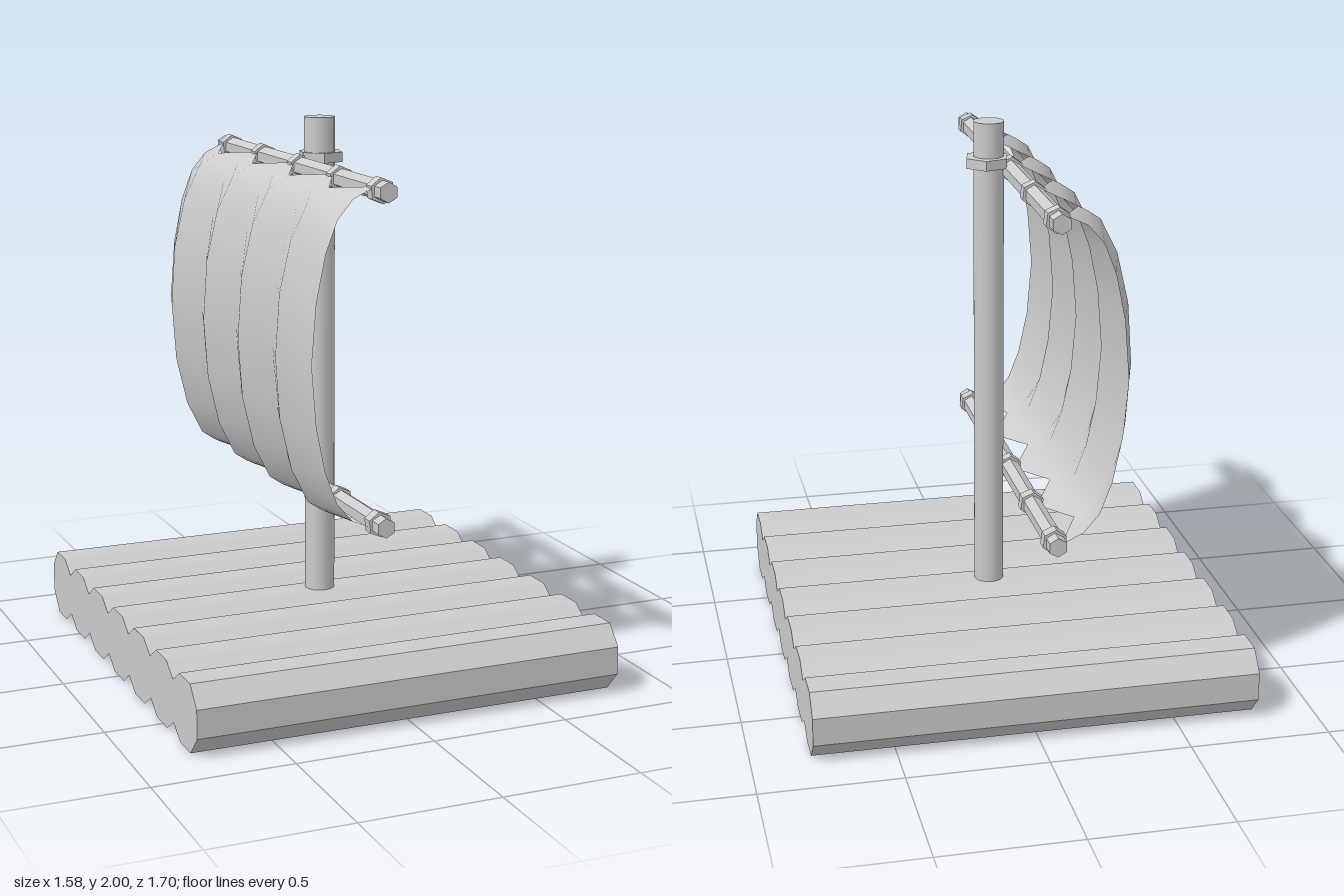
import * as THREE from 'three';

const smooth = new THREE.MeshStandardMaterial({ color: 0xcccccc, side: THREE.DoubleSide });
const flat = new THREE.MeshStandardMaterial({ color: 0xcccccc, side: THREE.DoubleSide, flatShading: true });

function add(parent, name, geometry, material, x = 0, y = 0, z = 0) {
  const mesh = new THREE.Mesh(geometry, material);
  mesh.name = name;
  mesh.position.set(x, y, z);
  parent.add(mesh);
  return mesh;
}

// Grid of points [row][column] turned into an indexed surface
function gridSurface(rows) {
  const n = rows[0].length, index = [];
  for (let r = 0; r < rows.length - 1; r++) {
    for (let c = 0; c < n - 1; c++) {
      const a = r * n + c;
      index.push(a, a + 1, a + n + 1, a, a + n + 1, a + n);
    }
  }
  const geometry = new THREE.BufferGeometry();
  geometry.setAttribute('position', new THREE.Float32BufferAttribute(rows.flat(2), 3));
  geometry.setIndex(index);
  geometry.computeVertexNormals();
  return geometry;
}

// Raft of seven joined logs: a shell open underneath, closed at both log ends
function createRaft() {
  const raft = new THREE.Group();
  raft.name = 'raft';
  const half = 0.79, pitch = 0.245, height = 0.245;

  const top = [];
  for (let i = 3; i >= -3; i--) {
    const z = i * pitch;
    if (i < 3) top.push([z + pitch / 2, 0.2]);
    top.push([z + 0.055, height], [z - 0.055, height]);
  }
  const side = [[0.785, 0], [0.852, 0.073], [0.852, 0.175]];
  const outline = [...side, ...top, ...side.map(([z, y]) => [-z, y]).reverse()];

  const skin = gridSurface(outline.map(([z, y]) => [[-half, y, z], [half, y, z]])).toNonIndexed();
  skin.computeVertexNormals();
  add(raft, 'logSurface', skin, flat);

  // End caps repeat the bumps along their lower edge
  const bottom = top.slice(1, -1).map(([z, y]) => [z, height - y]).reverse();
  const shape = new THREE.Shape([...outline, ...bottom].map(([z, y]) => new THREE.Vector2(-z, y)));
  for (const s of [1, -1]) {
    const cap = add(raft, s > 0 ? 'leftLogEnds' : 'rightLogEnds', new THREE.ShapeGeometry(shape), flat, s * half);
    cap.rotation.y = s * Math.PI / 2;
  }
  return raft;
}

// Hexagonal yard along z with its rope rings
function createYard(name, y) {
  const yard = new THREE.Group();
  yard.name = name;
  yard.position.set(-0.077, y, 0);
  const hex = (part, radius, length, z, turn) => {
    const geometry = new THREE.CylinderGeometry(radius, radius, length, 6);
    geometry.rotateY(turn).rotateX(Math.PI / 2);
    add(yard, part, geometry, flat, 0, 0, z);
  };
  hex('spar', 0.035, 1.54, 0, 0);
  for (const z of [-0.7, -0.36, 0, 0.36, 0.7]) hex('ropeRing', 0.045, 0.042, z, 0.12);
  return yard;
}

// Sail: tied columns alternate with columns that billow further out
function createSail() {
  const tied = [[-0.1, 0.583], [-0.18, 0.545], [-0.235, 0.48], [-0.277, 0.37], [-0.31, 0.21], [-0.327, 0]];
  const puffed = [[-0.19, 0.563], [-0.22, 0.548], [-0.268, 0.515], [-0.328, 0.395], [-0.37, 0.215], [-0.385, 0]];
  const mirrored = (p) => [...p, ...p.slice(0, -1).reverse().map(([x, y]) => [x, -y])];
  const profiles = [mirrored(tied), mirrored(puffed)];
  const rows = profiles[0].map((_, r) =>
    Array.from({ length: 9 }, (_, c) => {
      const [x, y] = profiles[c % 2][r];
      return [x, 1.257 + y, (c - 4) * 0.179];
    }));
  return gridSurface(rows);
}

export function createModel() {
  const model = new THREE.Group();
  model.name = 'sailRaft';
  model.add(createRaft());

  add(model, 'mast', new THREE.CylinderGeometry(0.055, 0.055, 1.8, 16), smooth, 0, 1.1, 0);
  const collar = add(model, 'mastCollar', new THREE.CylinderGeometry(0.082, 0.082, 0.036, 6), flat, 0.008, 1.857, -0.008);
  collar.rotation.y = 1.87;

  model.add(createYard('upperYard', 1.825), createYard('lowerYard', 0.688));
  add(model, 'sail', createSail(), smooth);
  return model;
}
